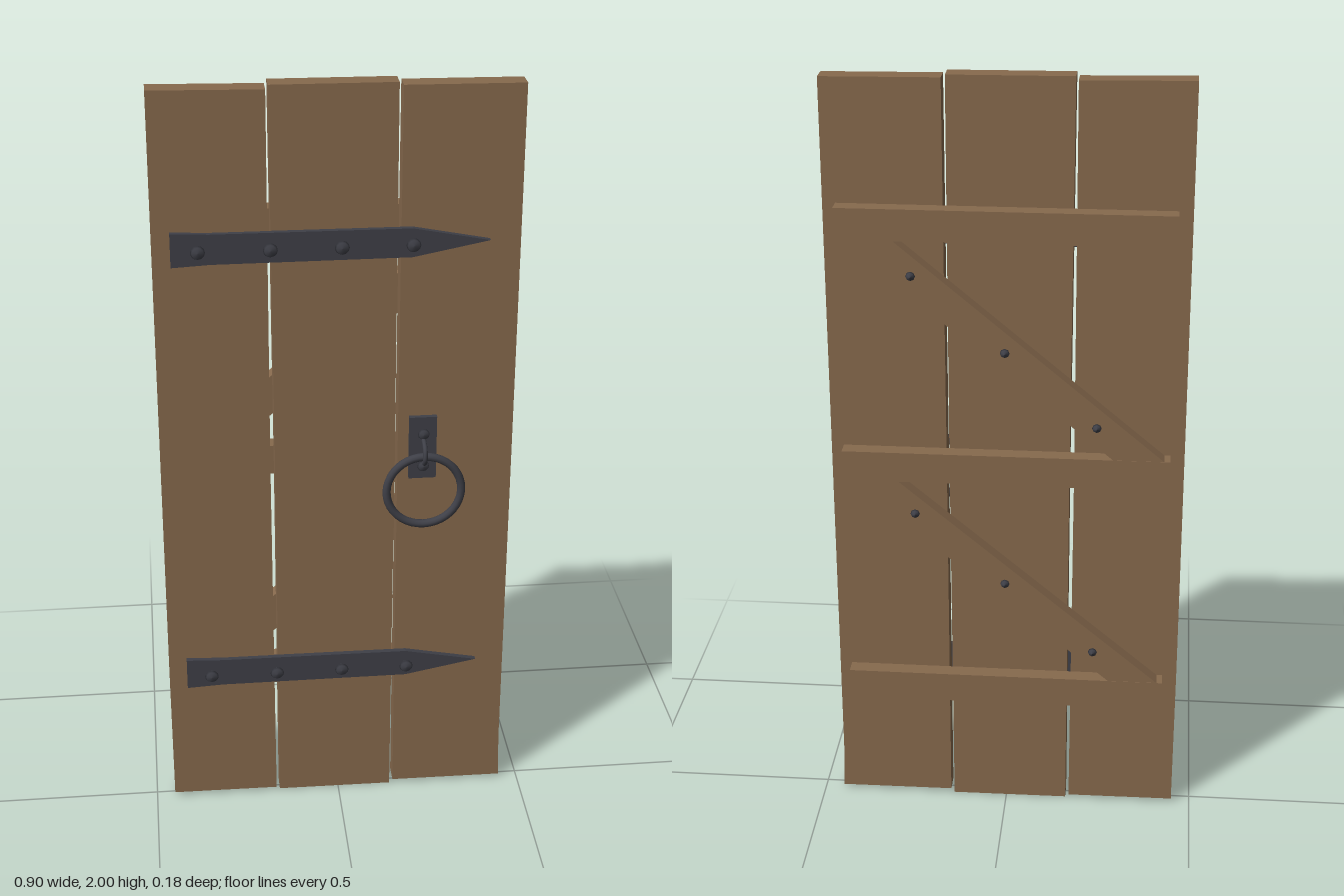
import * as THREE from 'three';

const wood = new THREE.MeshStandardMaterial({ color: 0x876a4d });
wood.name = 'wood';
const iron = new THREE.MeshStandardMaterial({ color: 0x3f4048 });
iron.name = 'iron';

// Flat panel: an outline in x and y, extruded from z0 to z1
function panel(name, points, z0, z1, material) {
  const shape = new THREE.Shape(points.map(([x, y]) => new THREE.Vector2(x, y)));
  const geometry = new THREE.ExtrudeGeometry(shape, { depth: z1 - z0, bevelEnabled: false });
  geometry.translate(0, 0, z0);
  const mesh = new THREE.Mesh(geometry, material);
  mesh.name = name;
  return mesh;
}

const rect = (x0, y0, x1, y1) => [[x0, y0], [x1, y0], [x1, y1], [x0, y1]];

// Round fastener along z: profile of [radius, z] pairs
function fastener(name, profile, x, y, z, sides = 12) {
  const points = profile.map(([r, d]) => new THREE.Vector2(r, d));
  const geometry = new THREE.LatheGeometry(points, sides);
  geometry.rotateX(Math.PI / 2);
  const mesh = new THREE.Mesh(geometry, iron);
  mesh.name = name;
  mesh.position.set(x, y, z);
  return mesh;
}

const rivetProfile = (r) => [
  [r * 0.45, 0], [r * 0.45, r * 1.6], [r, r * 1.65], [r * 0.8, r * 1.95], [0, r * 2.1],
];

// Strap hinge with a slightly wider root and a pointed tip
function strapHinge(y) {
  const hinge = new THREE.Group();
  hinge.name = 'strapHinge';
  hinge.add(panel('strap', [
    [-0.405, -0.043], [-0.31, -0.038], [0.18, -0.037], [0.37, 0],
    [0.18, 0.037], [-0.31, 0.039], [-0.405, 0.043],
  ], 0.02, 0.034, iron));
  for (const x of [-0.34, -0.166, 0.007, 0.18]) {
    hinge.add(fastener('strapRivet', rivetProfile(0.018), x, 0, 0.02));
  }
  hinge.position.y = y;
  return hinge;
}

// Diagonal brace fitted between two ledges, with its nails
function brace(y) {
  const group = new THREE.Group();
  group.name = 'brace';
  group.add(panel('braceBoard',
    [[-0.40, -0.28], [-0.272, -0.28], [0.40, 0.28], [0.272, 0.28]], -0.073, -0.032, wood));
  for (const i of [-1, 0, 1]) {
    const nail = fastener('braceNail',
      [[0.004, 0], [0.004, 0.044], [0.012, 0.045], [0.01, 0.05], [0, 0.056]],
      0.23 * i, 0.193 * i, -0.031, 8);
    nail.rotation.y = Math.PI;
    group.add(nail);
  }
  group.position.y = y;
  return group;
}

// Plate, staple and hanging ring
function ringHandle() {
  const handle = new THREE.Group();
  handle.name = 'ringHandle';
  const x = 0.215;
  handle.add(panel('handlePlate', rect(x - 0.035, 0.962, x + 0.035, 1.134), 0.02, 0.033, iron));
  for (const y of [1.002, 1.092]) {
    handle.add(fastener('plateRivet', rivetProfile(0.015), x, y, 0.02));
  }
  const ring = new THREE.Mesh(new THREE.TorusGeometry(0.096, 0.0105, 10, 40), iron);
  ring.name = 'ring';
  ring.position.set(x, 0.944, 0.068);
  const path = new THREE.CatmullRomCurve3([
    [1.075, 0.025], [1.075, 0.055], [1.062, 0.078], [1.04, 0.083],
    [1.023, 0.072], [1.018, 0.055], [1.018, 0.025],
  ].map(([y, z]) => new THREE.Vector3(x, y, z)));
  const staple = new THREE.Mesh(new THREE.TubeGeometry(path, 24, 0.006, 8), iron);
  staple.name = 'staple';
  handle.add(ring, staple);
  return handle;
}

export function createModel() {
  const door = new THREE.Group();
  door.name = 'plankDoor';

  // Three slightly uneven upright planks
  door.add(
    panel('rightPlank', [[-0.451, 0.011], [-0.171, 0.009], [-0.173, 1], [-0.17, 1.99], [-0.449, 1.995], [-0.452, 0.4]], -0.031, 0.021, wood),
    panel('middlePlank', [[-0.162, 0.002], [0.143, 0], [0.145, 1], [0.144, 1.998], [-0.164, 2], [-0.161, 1]], -0.031, 0.019, wood),
    panel('leftPlank', [[0.152, 0.011], [0.45, 0.009], [0.446, 0.13], [0.447, 1.988], [0.154, 1.991], [0.152, 1]], -0.031, 0.02, wood),
  );

  // Back frame
  for (const y of [0.32, 0.96, 1.6]) {
    door.add(panel('ledge', rect(-0.415, y, 0.415, y + 0.08), -0.074, -0.032, wood));
  }
  door.add(brace(0.68), brace(1.32));

  // Front ironwork
  door.add(strapHinge(0.403), strapHinge(1.604), ringHandle());
  return door;
}
